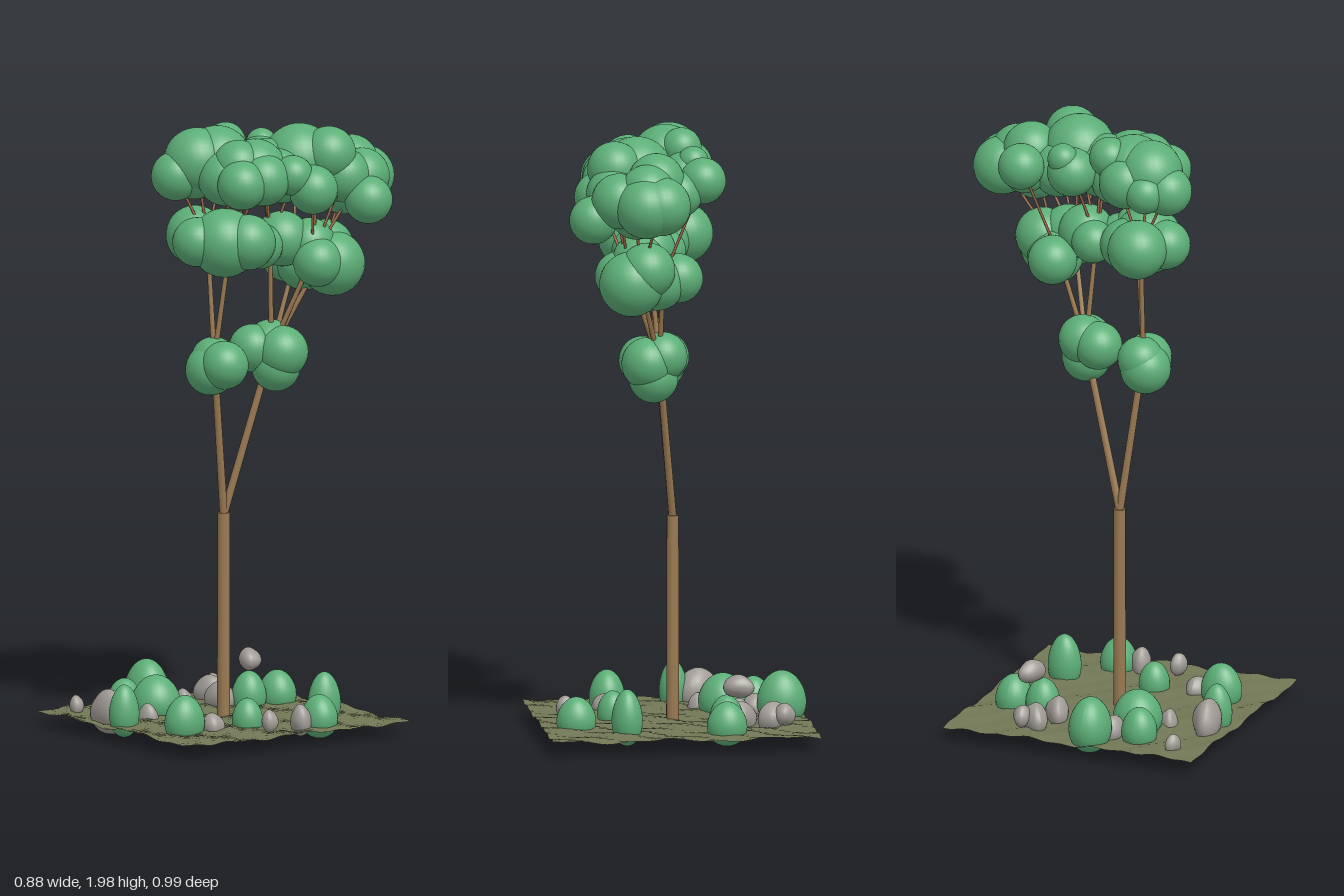
import * as THREE from 'three';

const mat = (name, color, side = THREE.FrontSide) => {
  const m = new THREE.MeshStandardMaterial({ color, side });
  m.name = name;
  return m;
};

export function createModel() {
  const model = new THREE.Group();
  model.name = 'treeOnPlot';
  const leaf = mat('leafGreen', 0x5cae77);
  const bark = mat('barkBrown', 0x9a7a52);
  const twigBark = mat('twigBrown', 0x996b4a);
  const stone = mat('stoneGrey', 0x9f9a94);
  const soil = mat('mossySoil', 0x717755, THREE.DoubleSide);
  const V = (p) => new THREE.Vector3(p[0], p[1], p[2]);

  const group = (name) => {
    const g = new THREE.Group();
    g.name = name;
    model.add(g);
    return g;
  };

  // Tapered limb between two points
  const limb = (parent, name, from, to, r0, r1, material) => {
    const a = V(from), b = V(to), dir = b.clone().sub(a);
    const mesh = new THREE.Mesh(new THREE.CylinderGeometry(r1, r0, dir.length(), 10), material);
    mesh.name = name;
    mesh.position.copy(a).add(b).multiplyScalar(0.5);
    mesh.quaternion.setFromUnitVectors(new THREE.Vector3(0, 1, 0), dir.normalize());
    parent.add(mesh);
  };

  // Gently uneven ground sheet
  const groundGeo = new THREE.PlaneGeometry(0.872, 0.87, 40, 40).rotateX(-Math.PI / 2);
  const gp = groundGeo.attributes.position;
  for (let i = 0; i < gp.count; i++) {
    const x = gp.getX(i), z = gp.getZ(i);
    gp.setY(i, 0.006 * Math.sin(x * 17 + z * 6) * Math.cos(z * 21) + 0.003 * Math.sin(x * 43 - z * 57));
  }
  groundGeo.computeVertexNormals();
  const ground = new THREE.Mesh(groundGeo, soil);
  ground.name = 'ground';
  ground.position.set(0.002, 0.061, 0.06);
  model.add(ground);

  // Trunk and its two main branches
  const wood = group('wood');
  const fork = [0, 0.72, 0.06], leftNode = [0.04, 1.24, 0.125], backNode = [0.06, 1.25, -0.085];
  limb(wood, 'trunk', [0, 0.055, 0.06], [0, 0.727, 0.06], 0.021, 0.02, bark);
  limb(wood, 'mainBranch', fork, leftNode, 0.013, 0.011, bark);
  limb(wood, 'mainBranch', fork, backNode, 0.013, 0.011, bark);

  // Foliage balls: x, y, z, radius
  const lower = [
    [0.035, 1.205, 0.135, 0.083], [0.09, 1.225, 0.12, 0.078], [0.03, 1.235, 0.12, 0.075],
    [0.035, 1.26, -0.03, 0.078], [0.1, 1.25, -0.1, 0.085], [0.08, 1.2, -0.09, 0.08], [0.05, 1.27, -0.09, 0.08],
  ];
  const middleFront = [
    [-0.045, 1.635, 0.14, 0.096], [0.09, 1.625, 0.12, 0.112], [0.05, 1.63, 0.2, 0.08],
    [0.15, 1.63, 0.07, 0.09], [0.13, 1.61, 0.01, 0.075], [0.03, 1.62, 0.07, 0.085],
  ];
  const middleBack = [
    [0.1, 1.62, -0.1, 0.09], [0.08, 1.53, -0.2, 0.09], [0.17, 1.535, -0.25, 0.105],
    [0.01, 1.54, -0.18, 0.08], [0.2, 1.55, -0.17, 0.08], [0.12, 1.58, -0.26, 0.09],
    [0.04, 1.61, -0.05, 0.07], [0.14, 1.6, -0.18, 0.085],
  ];
  const crownFront = [
    [-0.025, 1.93, 0.035, 0.066], [0.02, 1.885, 0.1, 0.112], [0, 1.885, 0.165, 0.108],
    [-0.075, 1.84, 0.18, 0.065], [-0.02, 1.84, 0.235, 0.08], [-0.05, 1.86, 0.1, 0.085],
    [0.15, 1.865, 0.04, 0.1], [0.21, 1.83, 0.135, 0.08], [0.11, 1.84, 0.13, 0.09],
    [0.04, 1.83, 0.03, 0.08], [0.21, 1.84, 0.05, 0.085], [-0.01, 1.85, 0.17, 0.09], [0.14, 1.88, 0.1, 0.085],
  ];
  const crownBack = [
    [-0.02, 1.86, -0.1, 0.08], [-0.045, 1.91, -0.12, 0.05], [0.14, 1.88, -0.14, 0.118],
    [0.22, 1.905, -0.2, 0.088], [0.26, 1.8, -0.11, 0.08], [0.24, 1.85, -0.045, 0.065],
    [0.08, 1.84, -0.04, 0.085], [0.095, 1.875, -0.29, 0.092], [-0.06, 1.87, -0.26, 0.075],
    [0.02, 1.83, -0.28, 0.075], [0.09, 1.81, -0.39, 0.095], [0.14, 1.805, -0.395, 0.098],
    [0.22, 1.82, -0.33, 0.09], [0.3, 1.755, -0.3, 0.078], [0.16, 1.78, -0.3, 0.09],
    [0.17, 1.84, -0.05, 0.09], [0.23, 1.83, -0.25, 0.088], [0.07, 1.83, -0.18, 0.09],
    [0.2, 1.81, -0.17, 0.085], [0.13, 1.85, -0.35, 0.09], [0.11, 1.87, -0.03, 0.085],
  ];
  const foliage = group('foliage');
  const ball = new THREE.SphereGeometry(1, 28, 20);
  for (const [x, y, z, r] of [lower, middleFront, middleBack, crownFront, crownBack].flat()) {
    const puff = new THREE.Mesh(ball, leaf);
    puff.name = 'foliagePuff';
    puff.position.set(x, y, z);
    puff.scale.setScalar(r);
    foliage.add(puff);
  }

  // Secondary branches into the middle clumps, then twigs into the crown
  const middles = [
    { node: leftNode, tips: [[0.01, 1.62, 0.13], [0.08, 1.62, 0.09]], puffs: crownFront },
    { node: backNode, tips: [[0.09, 1.6, -0.06], [0.06, 1.54, -0.18], [0.14, 1.54, -0.22], [0.17, 1.56, -0.17]], puffs: crownBack },
  ];
  for (const { node, tips, puffs } of middles) {
    for (const tip of tips) limb(wood, 'branch', node, tip, 0.009, 0.007, bark);
    puffs.forEach((p, i) => {
      if (i % 2) return;
      const near = tips.reduce((a, b) => (V(a).distanceTo(V(p)) < V(b).distanceTo(V(p)) ? a : b));
      limb(wood, 'twig', near, p.slice(0, 3), 0.005, 0.004, twigBark);
    });
  }

  // Egg-shaped bushes: x, z, half width, half depth, top
  const egg = new THREE.SphereGeometry(1, 28, 20);
  const ep = egg.attributes.position;
  for (let i = 0; i < ep.count; i++) {
    const k = 1 - 0.12 * ep.getY(i);
    ep.setX(i, ep.getX(i) * k);
    ep.setZ(i, ep.getZ(i) * k);
  }
  egg.computeVertexNormals();
  const bushes = group('bushes');
  for (const [x, z, rx, rz, top] of [
    [-0.36, 0.11, 0.08, 0.068, 0.205], [-0.285, 0.25, 0.058, 0.058, 0.165], [-0.18, 0.2, 0.08, 0.08, 0.185],
    [-0.14, -0.25, 0.065, 0.06, 0.165], [-0.15, -0.145, 0.056, 0.056, 0.17], [-0.045, 0.42, 0.046, 0.05, 0.192],
    [0.18, 0.34, 0.058, 0.068, 0.18], [0.33, -0.085, 0.064, 0.058, 0.163], [0.18, -0.21, 0.05, 0.055, 0.205],
    [0.19, 0.1, 0.05, 0.05, 0.15],
  ]) {
    const bush = new THREE.Mesh(egg, leaf);
    bush.name = 'bush';
    bush.position.set(x, (top + 0.02) / 2, z);
    bush.scale.set(rx, (top - 0.02) / 2, rz);
    bushes.add(bush);
  }

  // Smooth lumpy stones: x, y, z, half sizes, turn
  const lump = new THREE.SphereGeometry(1, 24, 16);
  const lp = lump.attributes.position;
  for (let i = 0; i < lp.count; i++) {
    const p = new THREE.Vector3().fromBufferAttribute(lp, i);
    const k = 1 + 0.05 * Math.sin(3.6 * p.x + 1.7 * p.y) + 0.05 * Math.sin(4.1 * p.z - 2 * p.x + 1);
    lp.setXYZ(i, p.x * k, p.y * k, p.z * k);
  }
  lump.computeVertexNormals();
  const rocks = group('rocks');
  for (const [x, y, z, rx, ry, rz, turn] of [
    [-0.308, 0.085, -0.105, 0.056, 0.05, 0.042, 0.75], [-0.34, 0.1, -0.137, 0.034, 0.035, 0.03, 0.2],
    [-0.185, 0.2, -0.17, 0.052, 0.036, 0.036, -0.3], [-0.205, 0.08, -0.07, 0.056, 0.05, 0.038, 0.5],
    [-0.215, 0.08, 0.068, 0.036, 0.04, 0.029, 0], [-0.28, 0.075, 0.155, 0.048, 0.045, 0.038, 0.2],
    [-0.11, 0.06, 0.28, 0.036, 0.045, 0.03, 0.6], [-0.125, 0.09, 0.42, 0.076, 0.07, 0.048, 0.3],
    [-0.35, 0.08, 0.395, 0.029, 0.032, 0.023, -0.3], [0.2, 0.075, 0.245, 0.042, 0.038, 0.037, 0],
    [0.342, 0.095, 0.12, 0.031, 0.036, 0.027, -0.2], [0.335, 0.085, -0.008, 0.036, 0.05, 0.034, 0.4],
  ]) {
    const rock = new THREE.Mesh(lump, stone);
    rock.name = 'rock';
    rock.position.set(x, y, z);
    rock.scale.set(rx, ry, rz);
    rock.rotation.y = turn;
    rocks.add(rock);
  }
  return model;
}
